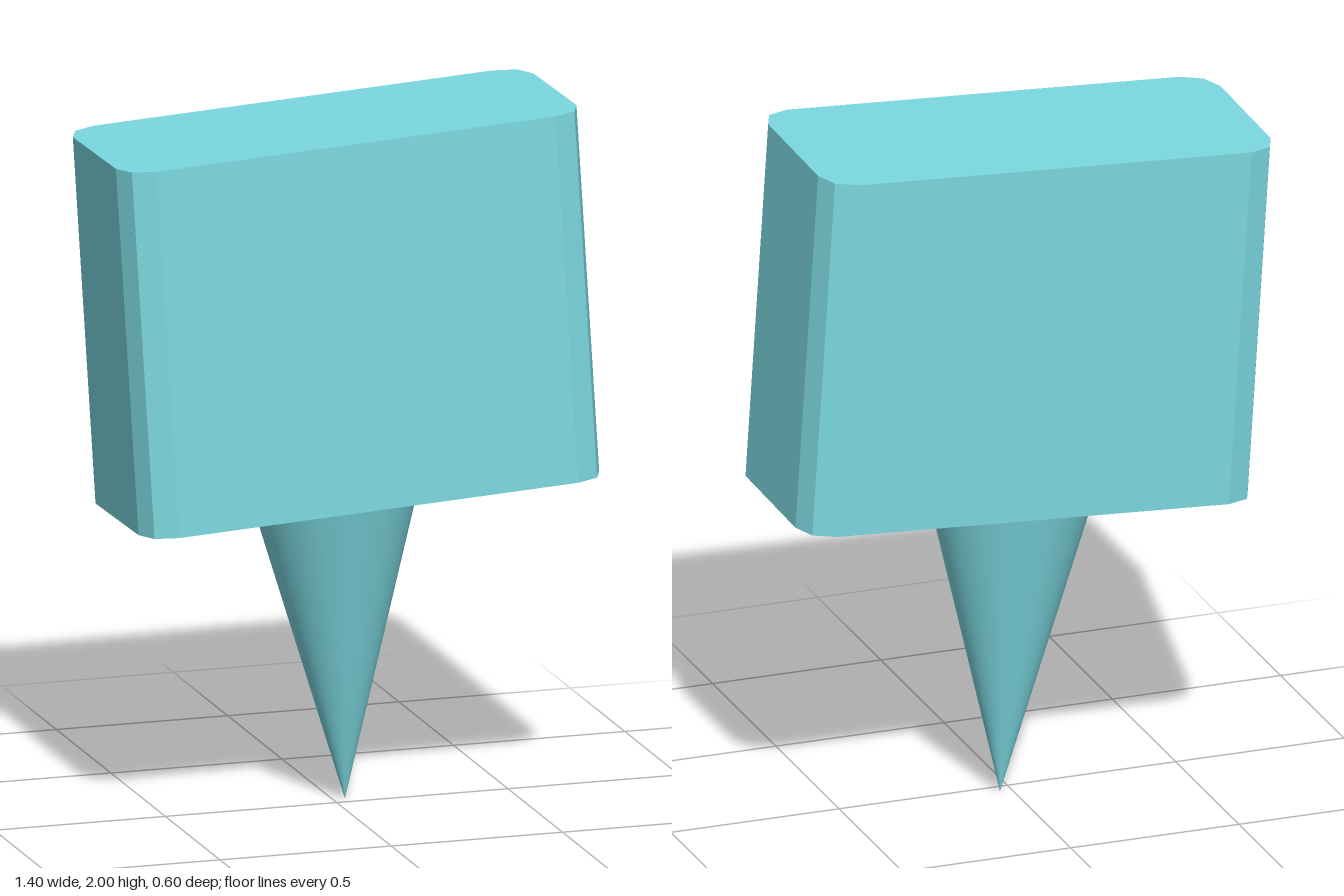
import * as THREE from 'three';

const deg = THREE.MathUtils.degToRad;

// Rectangle whose corners are rounded with two straight segments each
function roundedOutline(w, d, r) {
  const points = [];
  [[1, 1], [-1, 1], [-1, -1], [1, -1]].forEach(([sx, sy], corner) => {
    for (let i = 0; i <= 2; i++) {
      const a = (corner + i / 2) * Math.PI / 2;
      points.push(new THREE.Vector2(
        sx * (w / 2 - r) + r * Math.cos(a),
        sy * (d / 2 - r) + r * Math.sin(a)));
    }
  });
  return new THREE.Shape(points);
}

export function createModel() {
  const group = new THREE.Group();
  const color = 0x7cd9e1;

  // Block: rounded footprint extruded upwards, slightly tilted
  const height = 1.055;
  const blockGeometry = new THREE.ExtrudeGeometry(roundedOutline(1.347, 0.575, 0.09), {
    depth: height, bevelEnabled: false,
  });
  blockGeometry.translate(0, 0, -height / 2).rotateX(-Math.PI / 2);
  const block = new THREE.Mesh(blockGeometry,
    new THREE.MeshStandardMaterial({ color, flatShading: true }));
  block.name = 'block';
  block.position.set(-0.002, 1.433, 0);
  block.rotation.set(deg(-1.1), 0, deg(3.25));
  group.add(block);

  // Spike: cone pointing down, its base sunk into the block
  const length = 1.0;
  const spikeGeometry = new THREE.ConeGeometry(0.263, length, 64);
  spikeGeometry.rotateX(Math.PI).translate(0, length / 2, 0);
  const spike = new THREE.Mesh(spikeGeometry, new THREE.MeshStandardMaterial({ color }));
  spike.name = 'spike';
  spike.position.set(0.035, 0, -0.035);
  spike.rotation.set(deg(1.1), 0, deg(2.45));
  group.add(spike);

  return group;
}
